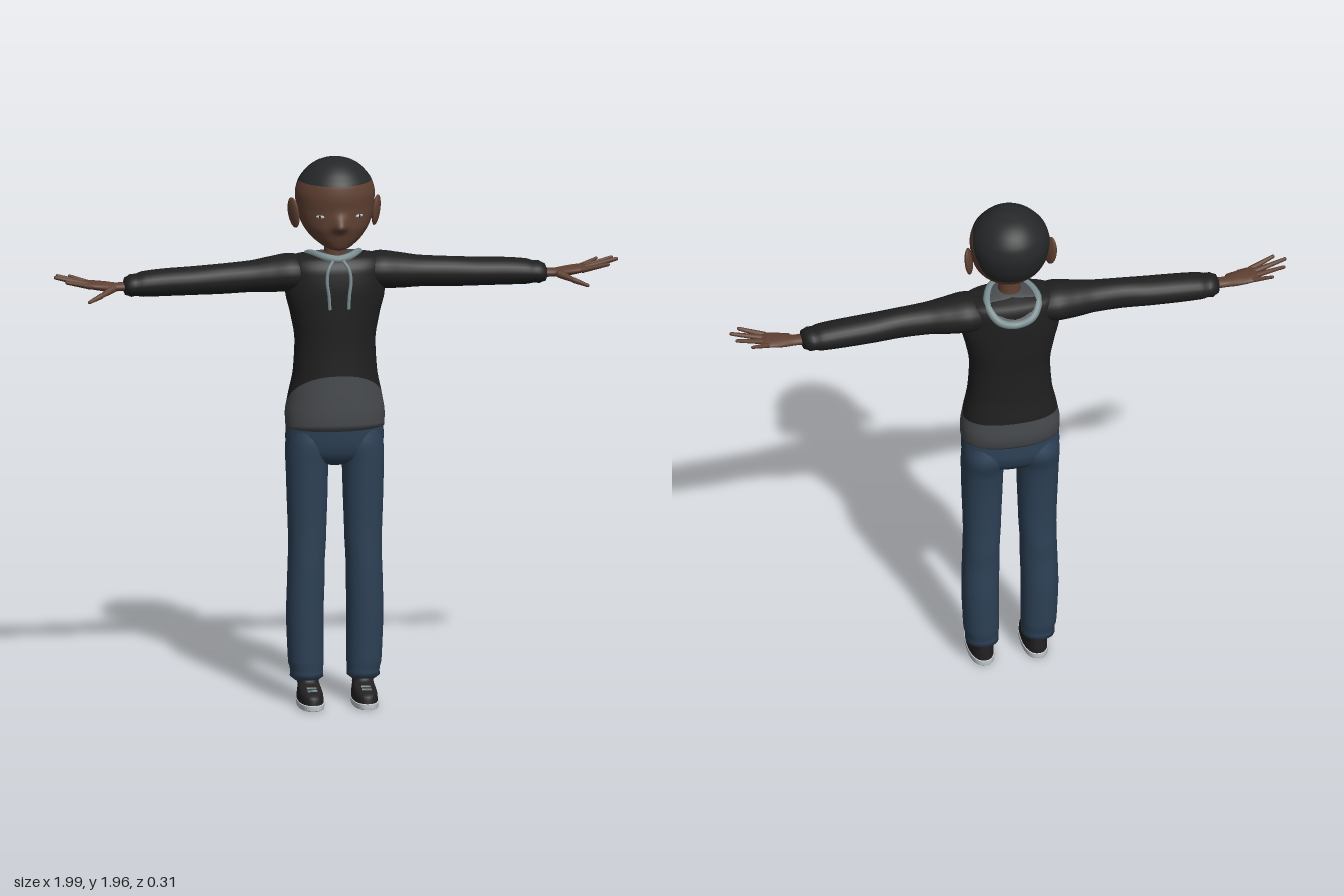
import * as THREE from 'three';
import { mergeGeometries } from 'three/addons/utils/BufferGeometryUtils.js';

const mat = (name, color) => Object.assign(new THREE.MeshStandardMaterial({ color }), { name });
const M = {
  skin: mat('skin brown', 0x5f4032), hair: mat('hair black', 0x252728), knit: mat('sweater black', 0x1f1f20),
  hem: mat('shirt grey', 0x45484b), denim: mat('denim blue', 0x2d4156), trim: mat('hood trim', 0x7b8e90),
  sole: mat('sole white', 0xc4cacc), shoe: mat('shoe black', 0x222021),
};
M.hem.side = THREE.DoubleSide;

// Smooth monotone interpolation of section rows [t, centre x, half width, front z, back z]
function sample(rows, t) {
  let i = 0;
  while (i < rows.length - 2 && t > rows[i + 1][0]) i++;
  const h = rows[i + 1][0] - rows[i][0], s = Math.min(1, Math.max(0, (t - rows[i][0]) / h));
  return [1, 2, 3, 4].map((k) => {
    const d = (j) => (rows[j + 1][k] - rows[j][k]) / (rows[j + 1][0] - rows[j][0]);
    const m = (j) => {
      if (j === 0) return d(0);
      if (j === rows.length - 1) return d(j - 1);
      const a = d(j - 1), b = d(j);
      return a * b <= 0 ? 0 : (2 * a * b) / (a + b);
    };
    const s2 = s * s, s3 = s2 * s;
    return (2 * s3 - 3 * s2 + 1) * rows[i][k] + (s3 - 2 * s2 + s) * h * m(i)
      + (3 * s2 - 2 * s3) * rows[i + 1][k] + (s3 - s2) * h * m(i + 1);
  });
}

// Point on a lofted body: angle 0 faces +z, power below 1 squares the section
function pointOn(rows, t, a, power = 1) {
  const [cx, rx, zf, zb] = sample(rows, t), p = (v) => Math.sign(v) * Math.abs(v) ** power;
  return new THREE.Vector3(cx + rx * p(Math.sin(a)), t, (zf + zb) / 2 + ((zf - zb) / 2) * p(Math.cos(a)));
}

// Closed-around surface between two heights, each a function of angle or a number
function loft(rows, { lo = rows[0][0], hi = rows.at(-1)[0], nu = 32, nv = 24, power = 1, warp } = {}) {
  const pos = [], idx = [], at = (f, a) => (typeof f === 'function' ? f(a) : f);
  for (let j = 0; j <= nv; j++) {
    for (let i = 0; i < nu; i++) {
      const a = (i / nu) * Math.PI * 2;
      const p = pointOn(rows, THREE.MathUtils.lerp(at(lo, a), at(hi, a), j / nv), a, power);
      if (warp) warp(p, a);
      pos.push(p.x, p.y, p.z);
      if (j < nv) {
        const b = j * nu + i, c = j * nu + ((i + 1) % nu);
        idx.push(b, c, c + nu, b, c + nu, b + nu);
      }
    }
  }
  const g = new THREE.BufferGeometry();
  g.setAttribute('position', new THREE.Float32BufferAttribute(pos, 3));
  g.setIndex(idx);
  g.computeVertexNormals();
  return g;
}

// Rows along x as [x, centre y, half height, front z, back z]
const loftX = (rows, opt) => loft(rows.map(([x, y, ...r]) => [x, -y, ...r]), opt).rotateZ(-Math.PI / 2);

function mirrored(geo) {
  const g = geo.clone().scale(-1, 1, 1), ix = g.index;
  for (let i = 0; i < ix.count; i += 3) {
    const b = ix.getX(i + 1);
    ix.setX(i + 1, ix.getX(i + 2));
    ix.setX(i + 2, b);
  }
  g.computeVertexNormals();
  return g;
}

// Tapered finger with a round tip
function finger(from, to, r) {
  const a = new THREE.Vector3(...from), b = new THREE.Vector3(...to), d = b.clone().sub(a);
  const q = new THREE.Quaternion().setFromUnitVectors(new THREE.Vector3(0, 1, 0), d.clone().normalize());
  const mid = a.clone().add(b).multiplyScalar(0.5);
  return [
    new THREE.CylinderGeometry(r * 0.6, r, d.length(), 10).applyQuaternion(q).translate(...mid),
    new THREE.SphereGeometry(r * 0.6, 10, 8).translate(...to),
    new THREE.SphereGeometry(r, 10, 8).translate(...from),
  ];
}

export function createModel() {
  const root = new THREE.Group();
  const add = (name, geo, material) => {
    const m = new THREE.Mesh(geo, material);
    m.name = name;
    root.add(m);
  };
  const pair = (name, geo, material) => {
    add('left' + name, geo, material);
    add('right' + name, mirrored(geo), material);
  };
  const backness = (a) => Math.min(a, Math.PI * 2 - a);

  // Head, with the hair meeting the face along a curved hairline
  const head = [
    [1.637, 0, 0.004, 0.08, 0.05], [1.645, 0, 0.035, 0.1, 0.02], [1.665, 0, 0.07, 0.11, -0.045],
    [1.69, 0, 0.097, 0.118, -0.08], [1.73, 0, 0.122, 0.127, -0.115], [1.78, 0, 0.136, 0.126, -0.138],
    [1.83, 0, 0.14, 0.13, -0.147], [1.87, 0, 0.131, 0.125, -0.14], [1.905, 0, 0.108, 0.103, -0.12],
    [1.932, 0, 0.077, 0.073, -0.088], [1.948, 0, 0.043, 0.04, -0.05], [1.955, 0, 0.001, 0, -0.002],
  ];
  const hairline = (a) => 1.877 - 0.155 * THREE.MathUtils.smoothstep(backness(a), 1.45, 2.5);
  const nose = (p) => {
    if (p.z > 0.05) p.z += 0.032 * Math.exp(-((p.x / 0.02) ** 2) - ((p.y - 1.733) / (p.y > 1.733 ? 0.032 : 0.017)) ** 2);
  };
  add('face', loft(head, { hi: hairline, nu: 64, nv: 40, warp: nose }), M.skin);
  add('hair', loft(head, { lo: hairline, nu: 64, nv: 28 }), M.hair);
  add('neck', new THREE.CylinderGeometry(0.037, 0.042, 0.12, 20).translate(0, 1.63, -0.005), M.skin);
  pair('Ear', new THREE.SphereGeometry(1, 16, 12).scale(0.012, 0.055, 0.032).rotateY(-0.45)
    .rotateZ(-0.12).translate(0.146, 1.76, -0.008), M.skin);
  const eye = pointOn(head, 1.768, 0.54);
  pair('Eye', new THREE.SphereGeometry(1, 12, 8).scale(0.016, 0.006, 0.004).rotateY(0.5).translate(...eye), M.sole);
  pair('Pupil', new THREE.SphereGeometry(1, 10, 8).scale(0.006, 0.006, 0.005).rotateY(0.5).translate(...eye), M.shoe);

  // Sweater body over a grey shirt with an arched edge
  const torso = [
    [0.985, 0, 0.15, 0.08, -0.1], [0.995, 0, 0.174, 0.1, -0.118], [1.04, 0, 0.175, 0.102, -0.126],
    [1.1, 0, 0.166, 0.1, -0.12], [1.2, 0, 0.147, 0.095, -0.108], [1.3, 0, 0.142, 0.093, -0.106],
    [1.4, 0, 0.158, 0.094, -0.11], [1.48, 0, 0.175, 0.094, -0.11], [1.56, 0, 0.175, 0.086, -0.106],
    [1.59, 0, 0.165, 0.07, -0.095], [1.608, 0, 0.13, 0.05, -0.075], [1.616, 0, 0.03, 0.02, -0.03],
  ];
  const edge = (a) => 1.09 + 0.1 * Math.max(0, Math.cos(a)) ** 0.8 + 0.012 * Math.max(0, -Math.cos(a));
  add('shirtHem', loft(torso, { hi: edge, nu: 48, nv: 14, power: 0.85 }), M.hem);
  add('sweaterBody', loft(torso, { lo: edge, nu: 48, nv: 40, power: 0.85 }), M.knit);

  // Sleeves with a gathered cuff
  const sleeve = [
    [0.08, 1.545, 0.045, 0.05, -0.08], [0.16, 1.545, 0.066, 0.067, -0.098], [0.23, 1.54, 0.062, 0.058, -0.085],
    [0.3, 1.536, 0.055, 0.05, -0.07], [0.4, 1.531, 0.053, 0.046, -0.062], [0.5, 1.527, 0.05, 0.045, -0.068],
    [0.6, 1.524, 0.048, 0.042, -0.07], [0.68, 1.52, 0.044, 0.04, -0.068], [0.705, 1.518, 0.038, 0.036, -0.062],
    [0.72, 1.517, 0.04, 0.037, -0.062], [0.735, 1.516, 0.032, 0.03, -0.05], [0.75, 1.515, 0.028, 0.026, -0.042],
    [0.752, 1.515, 0.004, 0, -0.01],
  ];
  pair('Sleeve', loftX(sleeve, { nu: 24, nv: 64 }), M.knit);

  // Hands with spread fingers
  const palm = loftX([
    [0.73, 1.515, 0.017, 0.018, -0.032], [0.77, 1.515, 0.015, 0.018, -0.03], [0.81, 1.519, 0.017, 0.033, -0.037],
    [0.85, 1.525, 0.015, 0.04, -0.042], [0.88, 1.529, 0.012, 0.036, -0.04], [0.892, 1.53, 0.003, 0.02, -0.025],
  ], { nu: 20, nv: 16 });
  pair('Palm', palm, M.skin);
  const fingers = [
    [[0.87, 1.528, 0.03], [0.955, 1.55, 0.055], 0.011], [[0.88, 1.531, 0.011], [0.99, 1.561, 0.018], 0.011],
    [[0.88, 1.53, -0.01], [0.978, 1.558, -0.022], 0.01], [[0.865, 1.527, -0.031], [0.93, 1.548, -0.057], 0.009],
    [[0.79, 1.513, 0.02], [0.835, 1.498, 0.058], 0.014], [[0.835, 1.498, 0.058], [0.88, 1.484, 0.085], 0.01],
  ];
  pair('Fingers', mergeGeometries(fingers.flatMap((f) => finger(...f))), M.skin);

  // Hood lying on the back, its lining and drawstrings
  const half = [[0.045, 1.608, 0.045], [0.075, 1.61, 0.0], [0.09, 1.595, -0.065], [0.06, 1.555, -0.11]];
  const v = (p) => new THREE.Vector3(...p), flip = ([x, y, z]) => [-x, y, z];
  const ring = new THREE.CatmullRomCurve3([[0, 1.602, 0.06], ...half, [0, 1.535, -0.115],
    ...half.map(flip).reverse()].map(v), true);
  add('hoodTrim', new THREE.TubeGeometry(ring, 64, 0.014, 10, true), M.trim);
  const fan = [0, 1.618, -0.045, ...ring.getPoints(40).flatMap((p) => [p.x, p.y + 0.008, p.z])];
  const lining = new THREE.BufferGeometry();
  lining.setAttribute('position', new THREE.Float32BufferAttribute(fan, 3));
  lining.setIndex(Array.from({ length: 40 }, (_, i) => [0, i + 1, i + 2]).flat());
  lining.computeVertexNormals();
  add('hoodLining', lining, M.hem);
  const string = new THREE.CatmullRomCurve3([[0.018, 1.598, 0.068], [0.036, 1.57, 0.084], [0.042, 1.53, 0.091],
    [0.036, 1.48, 0.094], [0.033, 1.43, 0.094]].map(v));
  pair('Drawstring', new THREE.TubeGeometry(string, 20, 0.006, 8), M.trim);

  // Trousers: hips and two legs with gathered ankles
  add('hips', loft([
    [0.855, 0, 0.03, 0.02, -0.04], [0.87, 0, 0.1, 0.05, -0.075], [0.91, 0, 0.165, 0.075, -0.108],
    [0.95, 0, 0.173, 0.083, -0.118], [1.02, 0, 0.17, 0.088, -0.116],
  ], { nu: 40, power: 0.85 }), M.denim);
  pair('Leg', loft([
    [0.082, 0.1, 0.04, 0.03, -0.05], [0.09, 0.1, 0.055, 0.047, -0.07], [0.105, 0.1, 0.06, 0.055, -0.075],
    [0.118, 0.1, 0.055, 0.05, -0.068], [0.135, 0.102, 0.061, 0.055, -0.076], [0.2, 0.104, 0.063, 0.057, -0.08],
    [0.32, 0.106, 0.065, 0.061, -0.083], [0.45, 0.103, 0.065, 0.064, -0.078], [0.5, 0.102, 0.064, 0.065, -0.08],
    [0.6, 0.099, 0.066, 0.065, -0.078], [0.75, 0.099, 0.071, 0.07, -0.085], [0.86, 0.099, 0.074, 0.074, -0.098],
    [0.93, 0.093, 0.079, 0.077, -0.117], [0.985, 0.09, 0.074, 0.07, -0.1],
  ], { nu: 28, nv: 60, power: 0.92 }), M.denim);

  // Shoes: pale sole wall, dark tread plate, upper and laces
  pair('Sole', loft([
    [0.002, 0.096, 0.005, 0.05, 0.04], [0.003, 0.096, 0.045, 0.153, -0.054],
    [0.022, 0.096, 0.046, 0.154, -0.055], [0.024, 0.096, 0.04, 0.14, -0.05],
  ], { nv: 22, power: 0.8 }), M.sole);
  pair('Tread', loft([
    [0, 0.096, 0.001, 0.05, 0.049], [0.0005, 0.096, 0.038, 0.145, -0.047], [0.004, 0.096, 0.039, 0.146, -0.048],
  ], { nv: 16, power: 0.8 }), M.shoe);
  pair('ShoeUpper', loft([
    [0.02, 0.096, 0.044, 0.15, -0.053], [0.045, 0.096, 0.043, 0.144, -0.053], [0.06, 0.096, 0.04, 0.122, -0.052],
    [0.07, 0.096, 0.038, 0.08, -0.051], [0.082, 0.097, 0.037, 0.045, -0.05], [0.11, 0.098, 0.037, 0.035, -0.05],
  ], { nv: 22, power: 0.85 }), M.shoe);
  pair('Laces', mergeGeometries([0, 1].map((i) => new THREE.BoxGeometry(0.034, 0.005, 0.008)
    .rotateX(0.35).translate(0.096, 0.07 - i * 0.005, 0.083 + i * 0.022))), M.trim);

  return root;
}
